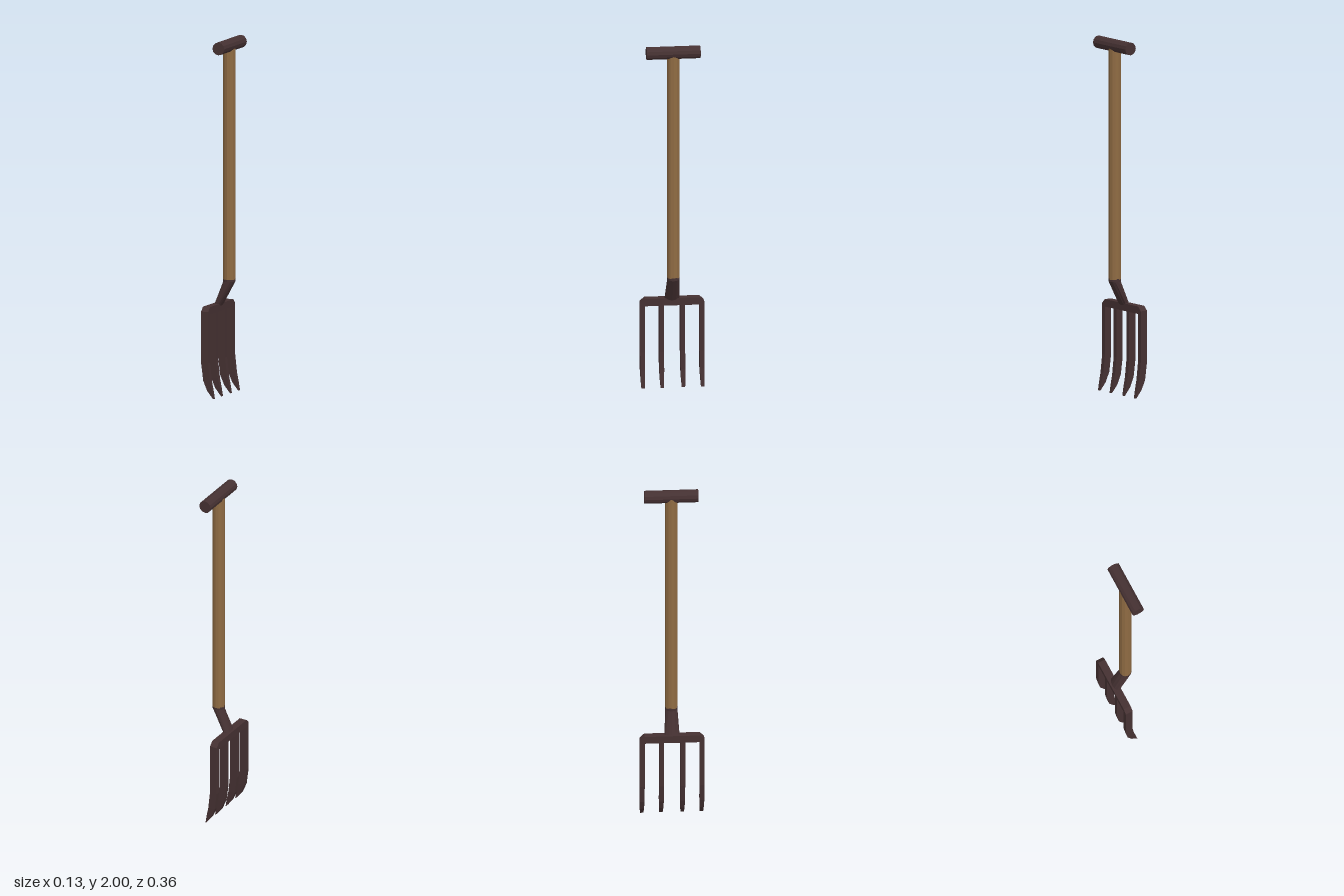
import * as THREE from 'three';

const metal = new THREE.MeshStandardMaterial({ color: 0x453132, flatShading: true });
const wood = new THREE.MeshStandardMaterial({ color: 0x8f6b43, flatShading: true });

function part(name, geometry, material) {
  const mesh = new THREE.Mesh(geometry, material);
  mesh.name = name;
  return mesh;
}

// Moves every vertex by a rule
function reshape(geometry, rule) {
  const pos = geometry.attributes.position;
  const v = new THREE.Vector3();
  for (let i = 0; i < pos.count; i++) {
    rule(v.fromBufferAttribute(pos, i));
    pos.setXYZ(i, v.x, v.y, v.z);
  }
  geometry.computeVertexNormals();
  return geometry;
}

const toShape = (points) => new THREE.Shape(points.map(([x, y]) => new THREE.Vector2(x, y)));

// Cranked neck: round at the shaft, a flat ellipse at the crossbar
function neckGeometry() {
  const rings = [
    { x: -0.044, y: 0.495, rx: 0.02, rz: 0.043 },
    { x: 0.025, y: 0.638, rx: 0.034, rz: 0.034 },
    { x: 0.025, y: 0.655, rx: 0.034, rz: 0.034 },
  ];
  return reshape(new THREE.CylinderGeometry(1, 1, 2, 12, 2), (v) => {
    const r = rings[Math.round(v.y + 1)];
    v.set(r.x + v.x * r.rx, r.y, v.z * r.rz);
  });
}

// Crossbar with bevelled upper corners, extruded front to back
function crossbarGeometry() {
  const outline = toShape([
    [-0.179, 0.47], [0.179, 0.47], [0.179, 0.488], [0.154, 0.512], [-0.154, 0.512], [-0.179, 0.488],
  ]);
  return new THREE.ExtrudeGeometry(outline, { depth: 0.043, bevelEnabled: false })
    .rotateY(Math.PI / 2).translate(-0.065, 0, 0);
}

// Curved tine that narrows slightly toward its tip
function tineGeometry() {
  const outline = toShape([
    [-0.065, 0.475], [-0.065, 0.2], [-0.052, 0.1], [-0.029, 0.045], [0.004, 0.003], [0.009, 0],
    [0.001, 0.045], [-0.011, 0.1], [-0.022, 0.2], [-0.022, 0.475],
  ]);
  const geometry = new THREE.ExtrudeGeometry(outline, { depth: 0.026, bevelEnabled: false });
  return reshape(geometry.translate(0, 0, -0.013), (v) => {
    v.z *= THREE.MathUtils.clamp(0.75 + v.y * 2.5, 0.75, 1);
  });
}

export function createModel() {
  const group = new THREE.Group();
  group.name = 'gardenFork';

  // Wooden shaft and cross grip
  const shaft = part('shaft', new THREE.CylinderGeometry(0.034, 0.034, 1.31, 12), wood);
  shaft.position.set(0.025, 1.305, 0);
  const grip = part('grip', new THREE.CylinderGeometry(0.036, 0.036, 0.3, 12).rotateX(Math.PI / 2), metal);
  grip.position.set(0.027, 1.965, 0);
  group.add(shaft, grip);

  // Fork head
  group.add(part('neck', neckGeometry(), metal), part('crossbar', crossbarGeometry(), metal));
  const tine = tineGeometry();
  for (const z of [-0.166, -0.059, 0.059, 0.166]) {
    const mesh = part('tine', tine, metal);
    mesh.position.z = z;
    group.add(mesh);
  }
  return group;
}
